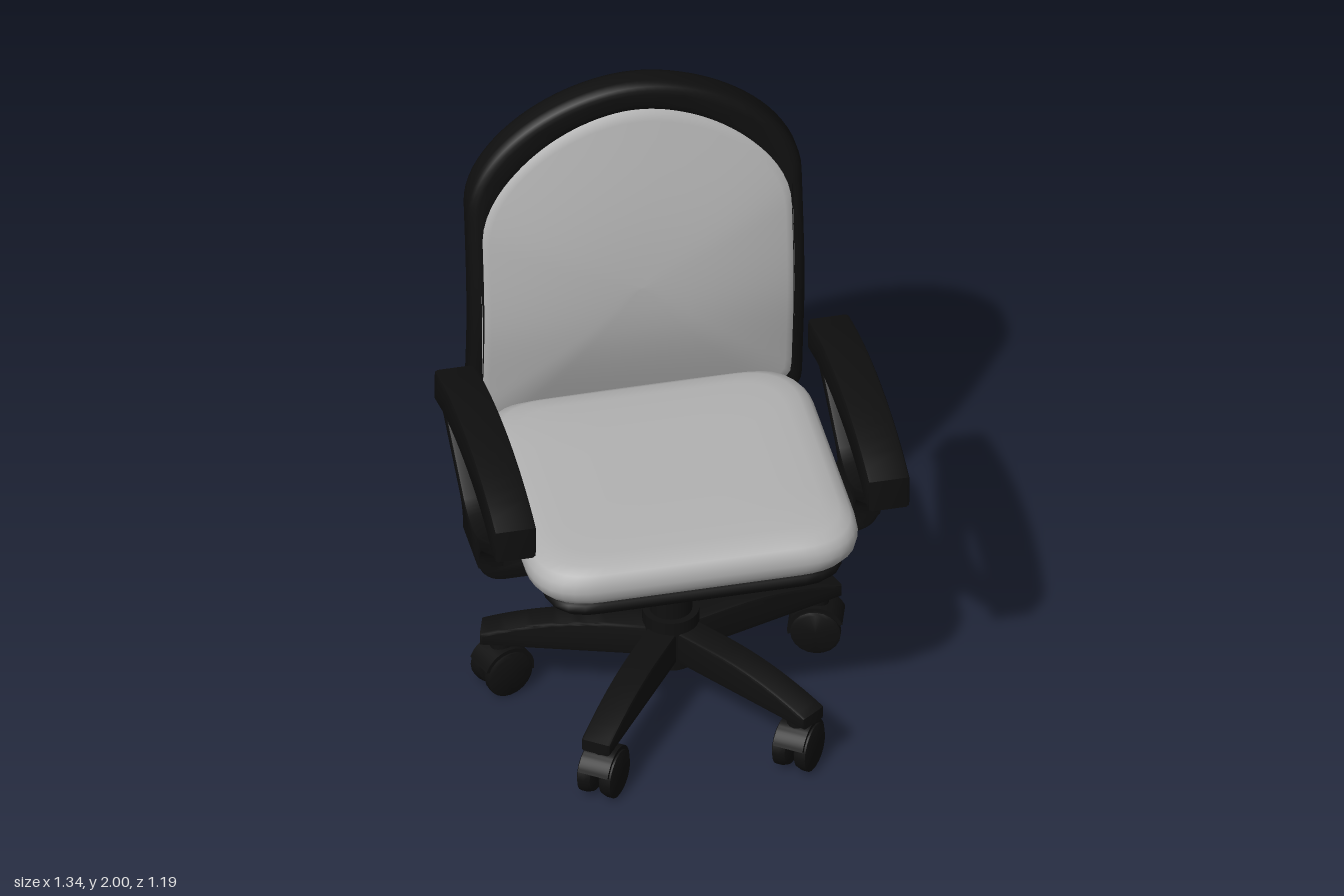
import * as THREE from 'three';
import { toCreasedNormals } from 'three/addons/utils/BufferGeometryUtils.js';

const black = new THREE.MeshStandardMaterial({ color: 0x0f0f0f });
black.name = 'black plastic';
const grey = new THREE.MeshStandardMaterial({ color: 0xb2b2b2 });
grey.name = 'grey fabric';

const HUB_Z = 0.065;
const RAD = Math.PI / 180;

function add(parent, name, geometry, material, x = 0, y = 0, z = 0) {
  const mesh = new THREE.Mesh(geometry, material);
  mesh.name = name;
  mesh.position.set(x, y, z);
  parent.add(mesh);
  return mesh;
}

// Smooth skin over rings; place(x, y, ring) puts each outline point in space
function loft(outline, rings, place) {
  const n = outline.length, pos = [], index = [];
  rings.forEach((ring, i) => outline.forEach((p, j) => {
    pos.push(...place(p.x, p.y, ring));
    if (i === rings.length - 1) return;
    const a = i * n + j, b = i * n + (j + 1) % n;
    index.push(a, b, b + n, a, b + n, a + n);
  }));
  const g = new THREE.BufferGeometry();
  g.setAttribute('position', new THREE.Float32BufferAttribute(pos, 3));
  g.setIndex(index);
  g.computeVertexNormals();
  return g;
}

function extrude(shape, depth, bevel = 0, segments = 2) {
  const g = new THREE.ExtrudeGeometry(shape, {
    depth: depth - 2 * bevel, bevelEnabled: bevel > 0, bevelSize: bevel,
    bevelThickness: bevel, bevelOffset: -bevel, bevelSegments: segments, curveSegments: 14,
  });
  g.translate(0, 0, bevel);
  return toCreasedNormals(g, 0.7);
}

// Evenly spaced outline points without the repeated last one
const spaced = (shape, n) => shape.getSpacedPoints(n).slice(0, n);

function roundedRect(w, d, r) {
  const s = new THREE.Shape();
  s.moveTo(w - r, -d);
  s.quadraticCurveTo(w, -d, w, -d + r);
  s.lineTo(w, d - r);
  s.quadraticCurveTo(w, d, w - r, d);
  s.lineTo(-w + r, d);
  s.quadraticCurveTo(-w, d, -w, d - r);
  s.lineTo(-w, -d + r);
  s.quadraticCurveTo(-w, -d, -w + r, -d);
  s.lineTo(w - r, -d);
  return s;
}

// Arched backrest outline
function archShape(w, bottom, top, corner) {
  const s = new THREE.Shape(), sh = top - 0.39;
  s.moveTo(-w + corner, bottom);
  s.lineTo(w - corner, bottom);
  s.quadraticCurveTo(w, bottom, w, bottom + corner);
  s.lineTo(w, sh);
  s.bezierCurveTo(w, sh + 0.2, w * 0.46, top, 0, top);
  s.bezierCurveTo(-w * 0.46, top, -w, sh + 0.2, -w, sh);
  s.lineTo(-w, bottom + corner);
  s.quadraticCurveTo(-w, bottom, -w + corner, bottom);
  return s;
}

// Lumbar curve of the backrest, slightly wrapped at the sides
function backZ(x, y) {
  const ss = THREE.MathUtils.smoothstep;
  return -0.5 + 0.037 * ss(y, 0.75, 1.2) - 0.072 * ss(y, 1.2, 1.95) + 0.07 * x * x;
}

function makeBackrest() {
  const g = new THREE.Group();
  g.name = 'backrest';
  const frame = new THREE.Shape(spaced(archShape(0.54, 0.725, 2.0, 0.1), 130));
  frame.holes.push(new THREE.Path(spaced(archShape(0.468, 0.81, 1.895, 0.08), 130).reverse()));
  const geo = extrude(frame, 0.11, 0.033, 4);
  const p = geo.attributes.position;
  for (let i = 0; i < p.count; i++) p.setZ(i, p.getZ(i) - 0.055 + backZ(p.getX(i), p.getY(i)));
  add(g, 'backFrame', toCreasedNormals(geo, 0.7), black);

  const mid = 1.3;
  const place = (x, y, [s, off]) => {
    const px = x * s, py = mid + (y - mid) * s;
    return [px, py, backZ(px, py) + off];
  };
  const front = [[1, 0.03], [0.995, 0.045]];
  for (const s of [0.98, 0.94, 0.85, 0.72, 0.58, 0.44, 0.3, 0.15, 0])
    front.push([s, 0.055 + 0.06 * (1 - s ** 2.5)]);
  add(g, 'backCushion', loft(spaced(archShape(0.507, 0.78, 1.905, 0.08), 96), front, place), grey);
  const rear = [0, 0.15, 0.3, 0.45, 0.6, 0.75, 0.9, 1].map((s) => [s, -0.043]);
  add(g, 'backPanel', loft(spaced(archShape(0.485, 0.79, 1.91, 0.08), 96), rear, place), grey);
  return g;
}

function makeSeat() {
  const g = new THREE.Group();
  g.name = 'seat';
  const place = (x, y, [s, h]) => [x * s, h, -y * s];
  const cushion = [[0, 0.73], [0.8, 0.73], [0.9, 0.737], [0.955, 0.755], [0.988, 0.78], [1, 0.81],
    [0.99, 0.84], [0.96, 0.863], [0.9, 0.879], [0.8, 0.887], [0.6, 0.891], [0.3, 0.893], [0, 0.893]];
  add(g, 'seatCushion', loft(spaced(roundedRect(0.535, 0.488, 0.2), 96), cushion, place), grey, 0, 0, 0.047);
  const pan = [[0, 0.68], [0.9, 0.68], [0.97, 0.69], [1, 0.71], [1, 0.735], [0.95, 0.75], [0, 0.75]];
  add(g, 'seatPan', loft(spaced(roundedRect(0.48, 0.45, 0.14), 64), pan, place), black, 0, 0, 0.05);
  return g;
}

function makeArms() {
  const g = new THREE.Group();
  g.name = 'armrests';
  // Curved pad, drawn as (z, y)
  const pad = new THREE.Shape();
  pad.moveTo(0.52, 0.975);
  pad.lineTo(0.52, 1.09);
  pad.bezierCurveTo(0.28, 1.18, -0.05, 1.18, -0.355, 1.085);
  pad.lineTo(-0.355, 0.97);
  pad.lineTo(-0.3, 0.985);
  pad.bezierCurveTo(-0.1, 1.05, 0.25, 1.06, 0.45, 0.985);
  // V support with an open middle
  const v = new THREE.Shape();
  v.moveTo(0.19, 0.7);
  v.quadraticCurveTo(0.19, 0.775, 0.24, 0.805);
  v.lineTo(0.51, 0.975);
  v.lineTo(0.49, 1.04);
  v.bezierCurveTo(0.25, 1.1, -0.1, 1.1, -0.33, 1.03);
  v.lineTo(-0.35, 0.96);
  v.lineTo(-0.08, 0.805);
  v.quadraticCurveTo(-0.03, 0.775, -0.03, 0.7);
  const hole = new THREE.Path();
  hole.moveTo(0.44, 0.982);
  hole.lineTo(0.2, 0.83);
  hole.quadraticCurveTo(0.09, 0.77, -0.02, 0.82);
  hole.lineTo(-0.3, 0.982);
  hole.bezierCurveTo(-0.1, 1.05, 0.25, 1.06, 0.44, 0.982);
  v.holes.push(hole);
  const padGeo = extrude(pad, 0.135, 0.012).rotateY(-Math.PI / 2);
  const vGeo = extrude(v, 0.09, 0.008).rotateY(-Math.PI / 2);
  for (const [side, name] of [[1, 'left'], [-1, 'right']]) {
    add(g, name + 'ArmPad', padGeo, black, side * 0.6025 + 0.0675);
    add(g, name + 'ArmSupport', vGeo, black, side * 0.605 + 0.045);
  }
  // U bracket passing under the seat
  const u = new THREE.Shape();
  u.moveTo(-0.57, 0.645);
  u.lineTo(0.57, 0.645);
  u.quadraticCurveTo(0.65, 0.655, 0.65, 0.75);
  u.lineTo(0.65, 0.78);
  u.lineTo(0.56, 0.78);
  u.quadraticCurveTo(0.55, 0.725, 0.48, 0.72);
  u.lineTo(-0.48, 0.72);
  u.quadraticCurveTo(-0.55, 0.725, -0.56, 0.78);
  u.lineTo(-0.65, 0.78);
  u.lineTo(-0.65, 0.75);
  u.quadraticCurveTo(-0.65, 0.655, -0.57, 0.645);
  add(g, 'armBracket', extrude(u, 0.22, 0.005), black, 0, 0, -0.03);
  return g;
}

function makeCaster() {
  const g = new THREE.Group();
  g.name = 'caster';
  const profile = [[0, -0.027], [0.055, -0.027], [0.073, -0.018], [0.08, 0], [0.08, 0.022], [0.07, 0.027], [0, 0.027]];
  const wheel = toCreasedNormals(new THREE.LatheGeometry(profile.map(([r, h]) => new THREE.Vector2(r, h)), 20), 0.6);
  add(g, 'leftWheel', wheel, black, 0.034, 0.08).rotation.z = -Math.PI / 2;
  add(g, 'rightWheel', wheel, black, -0.034, 0.08).rotation.z = Math.PI / 2;
  const hood = new THREE.Shape();
  hood.absarc(0, 0, 0.09, -10 * RAD, 160 * RAD, false);
  hood.absarc(0, 0, 0.074, 160 * RAD, -10 * RAD, true);
  add(g, 'hood', extrude(hood, 0.1).rotateY(Math.PI / 2), black, -0.05, 0.083);
  add(g, 'axle', new THREE.CylinderGeometry(0.025, 0.025, 0.1, 12).rotateZ(Math.PI / 2), black, 0, 0.08);
  add(g, 'stem', new THREE.CylinderGeometry(0.038, 0.038, 0.07, 16), black, 0, 0.17);
  return g;
}

function makeBase() {
  const g = new THREE.Group();
  g.name = 'base';
  g.position.z = HUB_Z;
  for (const [name, r, lo, hi] of [['hub', 0.09, 0.165, 0.35], ['columnSleeve', 0.068, 0.34, 0.495], ['gasLift', 0.043, 0.48, 0.69]])
    add(g, name, new THREE.CylinderGeometry(r, r, hi - lo, 28), black, 0, (lo + hi) / 2);
  const arm = new THREE.Shape();
  arm.moveTo(0, 0.19);
  arm.lineTo(0.6, 0.19);
  arm.lineTo(0.6, 0.232);
  arm.quadraticCurveTo(0.4, 0.305, 0.2, 0.305);
  arm.lineTo(0, 0.305);
  const armGeo = extrude(arm, 0.1, 0.01).translate(0, 0, -0.05);
  // Swivel angle of each caster, starting at the rear spoke
  [36, -72, -36, -36, 72].forEach((swivel, k) => {
    const a = (90 + 72 * k) * RAD;
    add(g, 'spoke', armGeo, black).rotation.y = a;
    const c = makeCaster();
    c.position.set(0.535 * Math.cos(a), 0, -0.535 * Math.sin(a));
    c.rotation.y = swivel * RAD;
    g.add(c);
  });
  return g;
}

export function createModel() {
  const chair = new THREE.Group();
  chair.name = 'officeChair';
  chair.add(makeBase(), makeSeat(), makeArms(), makeBackrest());
  return chair;
}
